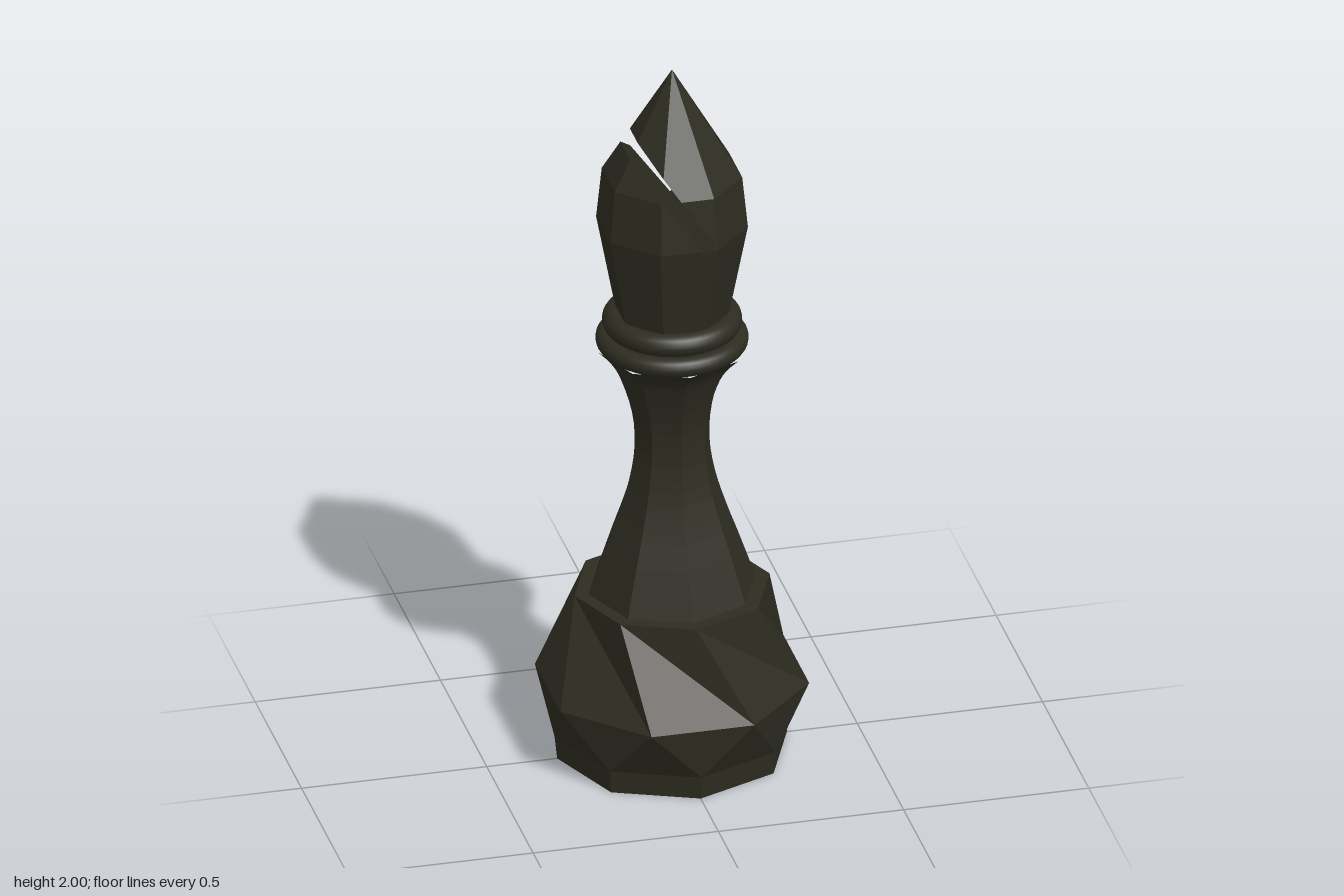
import * as THREE from 'three';
import { ConvexGeometry } from 'three/addons/geometries/ConvexGeometry.js';

const SIDES = 8;
const STEP = (Math.PI * 2) / SIDES;

// Octagonal ring of points; turn = 0.5 puts flats towards x and z
function ring(y, radius, turn) {
  return Array.from({ length: SIDES }, (_, k) => {
    const a = (k + turn) * STEP;
    return new THREE.Vector3(radius * Math.cos(a), y, -radius * Math.sin(a));
  });
}

// Faceted foot: straight plinth, zigzag band, then a twisted shoulder
function footGeometry() {
  const floor = ring(0, 0.31, 0);
  const plinth = ring(0.065, 0.317, 0);
  const belly = ring(0.212, 0.363, 0.5);
  const rim = ring(0.475, 0.263, 0);
  const bottom = new THREE.Vector3(0, 0, 0);
  const top = new THREE.Vector3(0, 0.475, 0);
  const points = [];
  for (let k = 0; k < SIDES; k++) {
    const n = (k + 1) % SIDES;
    const p = (k + SIDES - 1) % SIDES;
    points.push(bottom, floor[n], floor[k]);
    points.push(floor[k], floor[n], plinth[n], floor[k], plinth[n], plinth[k]);
    points.push(plinth[k], plinth[n], belly[k], belly[k], belly[p], plinth[k]);
    points.push(belly[k], belly[n], rim[k], belly[k], rim[k], rim[p]);
    points.push(top, rim[k], rim[n]);
  }
  const geometry = new THREE.BufferGeometry().setFromPoints(points);
  geometry.computeVertexNormals();
  return geometry;
}

// Keeps the part of a convex point set where normal . p >= offset
function clip(points, normal, offset) {
  const dist = points.map((p) => normal.dot(p) - offset);
  const kept = points.filter((_, i) => dist[i] >= 0);
  for (let i = 0; i < points.length; i++) {
    for (let j = i + 1; j < points.length; j++) {
      if (dist[i] * dist[j] < 0) {
        kept.push(points[i].clone().lerp(points[j], dist[i] / (dist[i] - dist[j])));
      }
    }
  }
  return kept;
}

export function createModel() {
  const model = new THREE.Group();
  model.name = 'chessPiece';
  const dark = new THREE.MeshStandardMaterial({ color: 0x2d2c21 });
  dark.name = 'darkOlive';
  const facetedDark = dark.clone();
  facetedDark.flatShading = true;
  facetedDark.name = 'darkOliveFaceted';

  const add = (name, geometry, material, parent = model, y = 0) => {
    const mesh = new THREE.Mesh(geometry, material);
    mesh.name = name;
    mesh.position.y = y;
    parent.add(mesh);
    return mesh;
  };

  add('foot', footGeometry(), facetedDark);

  // Waisted eight-sided column
  const profile = new THREE.SplineCurve([
    [0.225, 0.475], [0.182, 0.6], [0.146, 0.7], [0.116, 0.8], [0.101, 0.9],
    [0.108, 1.0], [0.138, 1.1], [0.165, 1.15], [0.202, 1.19],
  ].map(([r, y]) => new THREE.Vector2(r, y)));
  add('column', new THREE.LatheGeometry(profile.getPoints(24), SIDES), facetedDark);

  // Two round collar rings, each filled by a disc
  const collar = new THREE.Group();
  collar.name = 'collar';
  model.add(collar);
  for (const [name, y, radius, tube] of [
    ['lowerRing', 1.209, 0.175, 0.026],
    ['upperRing', 1.264, 0.153, 0.031],
  ]) {
    add(name, new THREE.TorusGeometry(radius, tube, 16, 48).rotateX(Math.PI / 2), dark, collar, y);
    add(name + 'Disc', new THREE.CylinderGeometry(radius, radius, tube * 1.6, 48), dark, collar, y);
  }

  // Pointed head, split around a slanting slot cut through from front to back
  const head = new THREE.Group();
  head.name = 'head';
  model.add(head);
  const solid = [
    ...ring(1.28, 0.149, 0.5), ...ring(1.55, 0.201, 0.5), ...ring(1.695, 0.186, 0.5),
    new THREE.Vector3(0, 2, 0),
  ];
  const across = new THREE.Vector3(0.817, 0.577, 0);
  const along = new THREE.Vector3(0.577, -0.817, 0);
  const back = across.clone().negate();
  const upper = 0.964;
  const lower = 0.9217;
  const tip = clip(solid, across, upper);
  const cheek = clip(solid, back, -lower);
  const bridge = clip(clip(clip(solid, across, lower), back, -upper), along, -1.235);
  add('headTip', new ConvexGeometry(tip), facetedDark, head);
  add('headBody', new ConvexGeometry(cheek), facetedDark, head);
  add('headBridge', new ConvexGeometry(bridge), facetedDark, head);

  return model;
}
